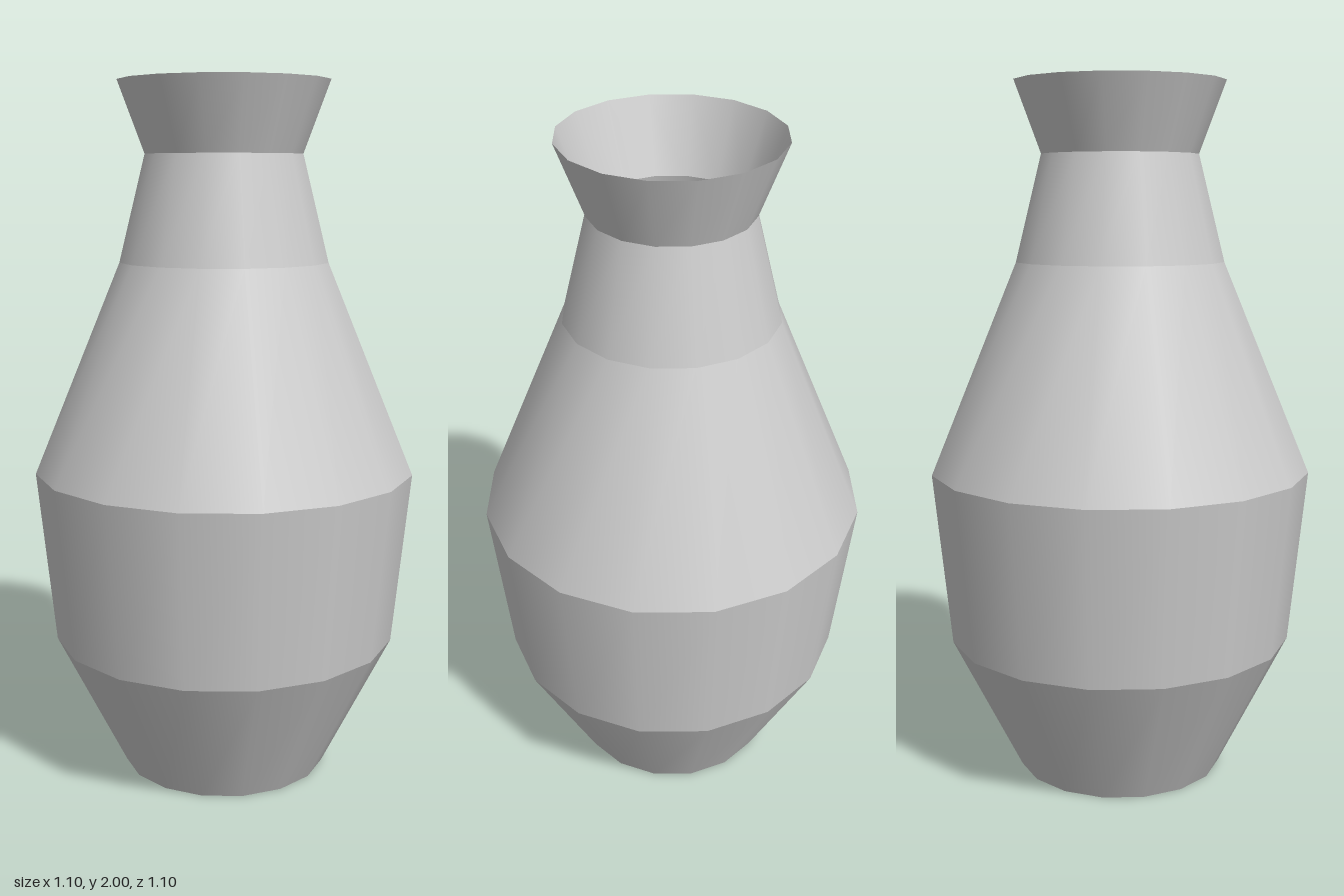
import * as THREE from 'three';

// Open, thin-walled vase: stacked conical bands with crisp edges between them
export function createModel() {
  const group = new THREE.Group();
  group.name = 'vase';

  const clay = new THREE.MeshStandardMaterial({ color: 0xcccccc, side: THREE.DoubleSide });
  clay.name = 'pale grey';

  const SIDES = 16;
  // [name, bottom y, top y, bottom radius, top radius]
  const bands = [
    ['foot', 0, 0.4, 0.3, 0.5],
    ['belly', 0.4, 0.9, 0.5, 0.55],
    ['shoulder', 0.9, 1.5, 0.55, 0.3],
    ['neck', 1.5, 1.8, 0.3, 0.225],
    ['flaredRim', 1.8, 2, 0.225, 0.3],
  ];

  for (const [name, y0, y1, r0, r1] of bands) {
    const geometry = new THREE.CylinderGeometry(r1, r0, y1 - y0, SIDES, 1, true);
    const mesh = new THREE.Mesh(geometry, clay);
    mesh.name = name;
    mesh.position.y = (y0 + y1) / 2;
    group.add(mesh);
  }
  return group;
}
